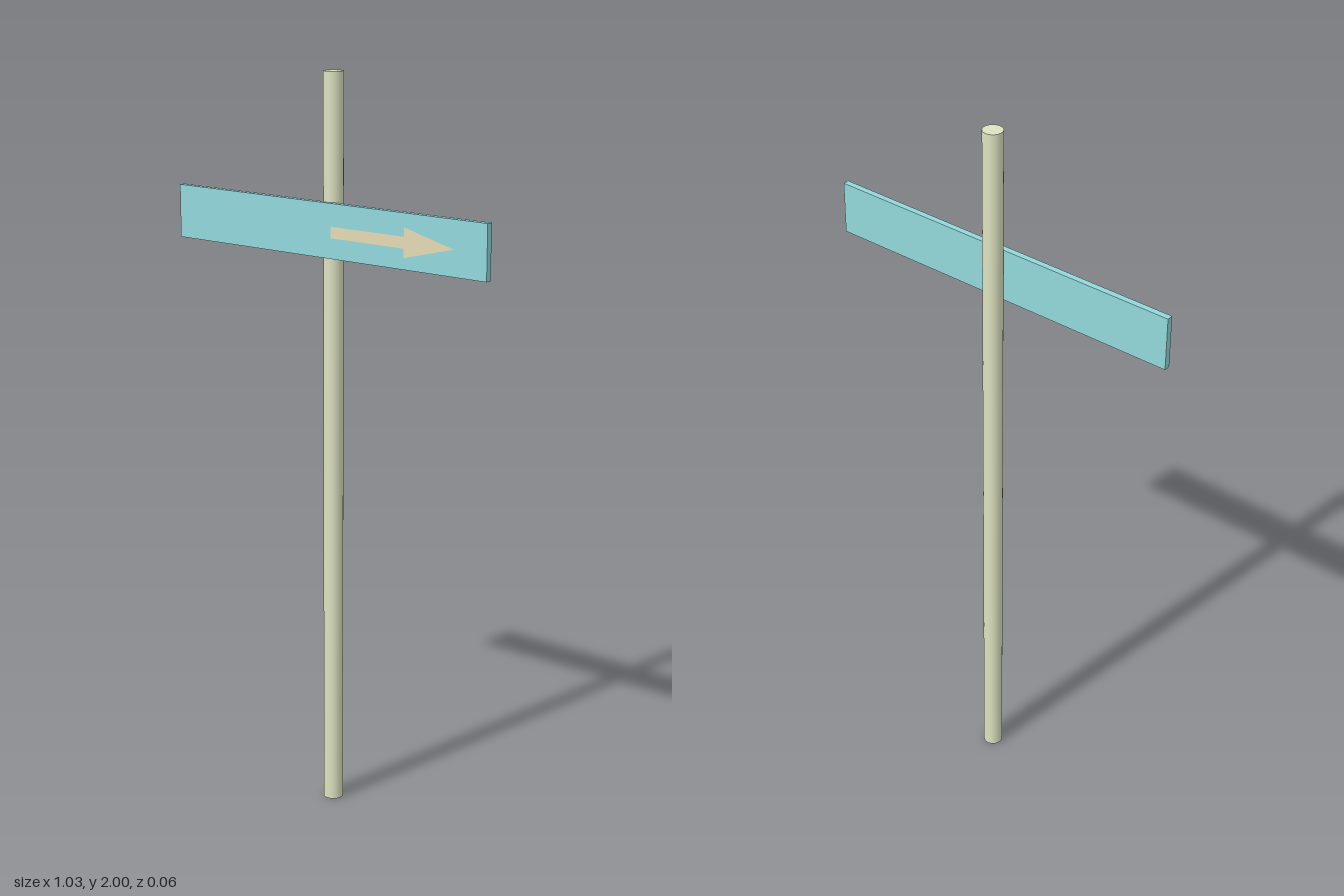
import * as THREE from 'three';

const POLE_R = 0.0265, POLE_Z = -0.0045;
const BOARD = { w: 1.032, h: 0.144, d: 0.017, y: 1.595, z: 0.0225 };

function part(name, geometry, color) {
  const mesh = new THREE.Mesh(geometry, new THREE.MeshStandardMaterial({ color }));
  mesh.name = name;
  return mesh;
}

export function createModel() {
  const group = new THREE.Group();
  group.name = 'signpost';

  // Round upright post
  const post = part('post', new THREE.CylinderGeometry(POLE_R, POLE_R, 2, 24), 0xdde2c0);
  post.position.set(0, 1, POLE_Z);
  group.add(post);

  // Direction board let into the front of the post
  const board = part('board', new THREE.BoxGeometry(BOARD.w, BOARD.h, BOARD.d), 0x93d8dc);
  board.position.set(0, BOARD.y, BOARD.z);
  group.add(board);

  // Arrow inlay, a hair proud of the board, pointing to the model's left
  const shaft = 0.015, head = 0.039;
  const outline = [
    [0.02, -shaft], [0.26, -shaft], [0.26, -head], [0.416, 0],
    [0.26, head], [0.26, shaft], [0.02, shaft],
  ].map(([x, y]) => new THREE.Vector2(x, y));
  const arrow = part('arrow', new THREE.ShapeGeometry(new THREE.Shape(outline)), 0xe3dab2);
  arrow.position.set(0, BOARD.y - 0.003, BOARD.z + BOARD.d / 2 + 0.0008);
  group.add(arrow);

  return group;
}
